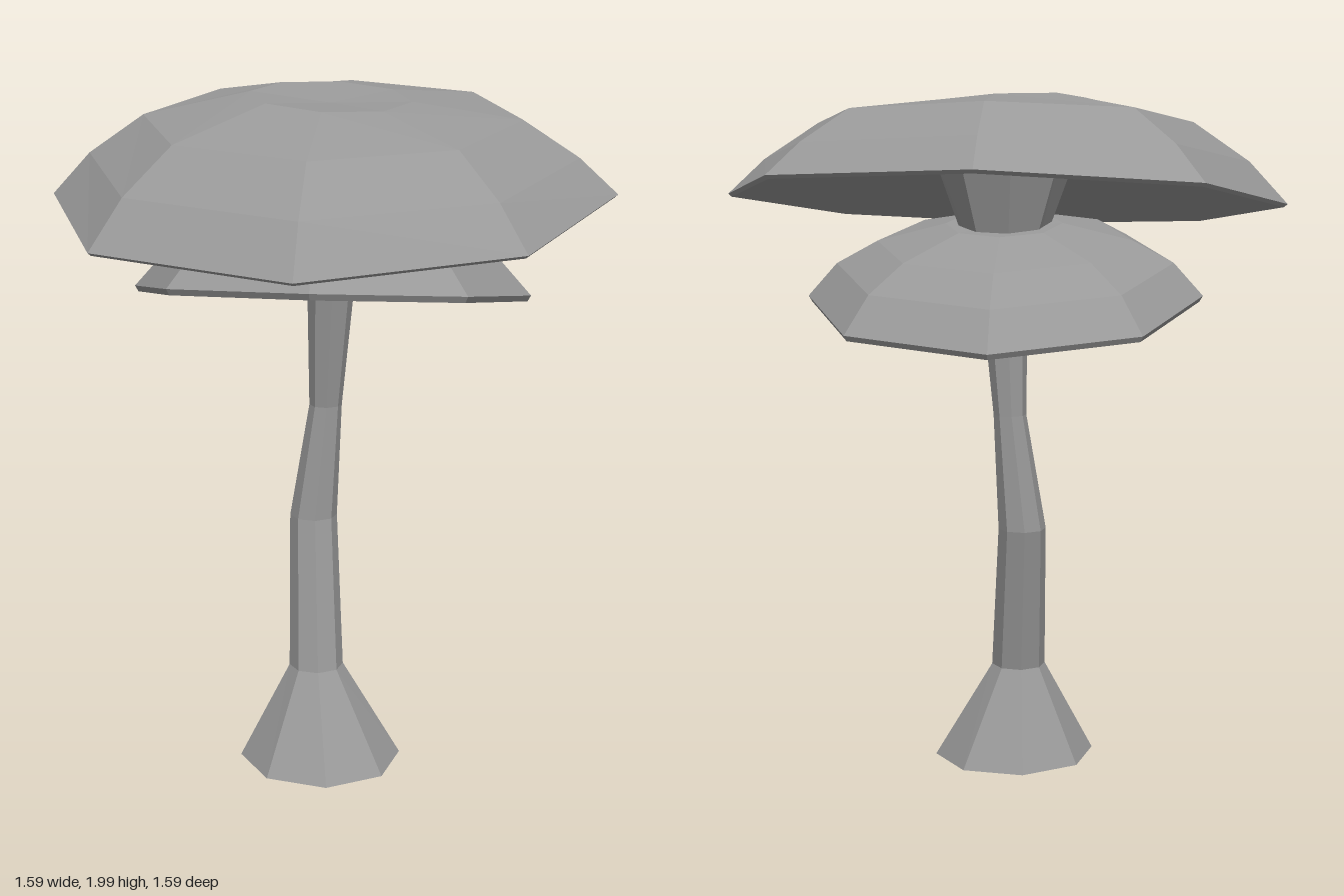
import * as THREE from 'three';

const SIDES = 8;
const material = new THREE.MeshStandardMaterial({
  color: 0x999999, flatShading: true, side: THREE.DoubleSide,
});

// Skins a list of octagonal rings { x, y, z, r, tiltX, tiltZ }.
// Each ring lies on a plane that rises by tiltX along x and tiltZ along z.
function loft(name, rings, phase) {
  const point = (ring, j) => {
    const a = phase + (j / SIDES) * Math.PI * 2;
    const dx = ring.r * Math.cos(a), dz = ring.r * Math.sin(a);
    return [ring.x + dx, ring.y + ring.tiltX * dx + ring.tiltZ * dz, ring.z + dz];
  };
  const positions = [];
  for (let i = 0; i < rings.length - 1; i++) {
    const lower = rings[i], upper = rings[i + 1];
    for (let j = 0; j < SIDES; j++) {
      const a = point(lower, j), b = point(upper, j);
      const c = point(upper, j + 1), d = point(lower, j + 1);
      if (upper.r > 0) positions.push(...a, ...b, ...c);
      if (lower.r > 0) positions.push(...a, ...c, ...d);
    }
  }
  const geometry = new THREE.BufferGeometry();
  geometry.setAttribute('position', new THREE.Float32BufferAttribute(positions, 3));
  geometry.computeVertexNormals();
  const mesh = new THREE.Mesh(geometry, material);
  mesh.name = name;
  return mesh;
}

// A tilted cap; profile holds [radius, height above the rim plane],
// optionally followed by that ring's own tilt along x and z.
function cap(name, profile, height, tiltX, tiltZ, phase) {
  const rings = profile.map(([r, h, tx = tiltX, tz = tiltZ]) => (
    { x: 0, y: height + h, z: 0, r, tiltX: tx, tiltZ: tz }));
  return loft(name, rings, THREE.MathUtils.degToRad(phase));
}

export function createModel() {
  const model = new THREE.Group();
  model.name = 'mushroom';

  // Crooked stem with an open flared foot and a flare under the upper cap:
  // [x, y, z, radius, tilt along x, tilt along z]
  const stem = [
    [0.03, 0.007, 0.085, 0.24, -0.02],
    [0.01, 0.29, 0.08, 0.08],
    [-0.058, 0.73, 0.013, 0.07],
    [-0.03, 1.07, -0.01, 0.048],
    [0, 1.44, 0, 0.069],
    [0, 1.83, 0, 0.21, -0.064, -0.12],
  ].map(([x, y, z, r, tiltX = 0, tiltZ = 0]) => ({ x, y, z, r, tiltX, tiltZ }));
  model.add(loft('stem', stem, 0));

  // Large upper cap, from the middle of the hollow underside round to the crown
  model.add(cap('upperCap', [
    [0, 0.14], [0.21, 0.138], [0.80, -0.004], [0.81, 0.005], [0.70, 0.115, -0.064, -0.10],
    [0.54, 0.222, -0.064, -0.09], [0.23, 0.28, -0.1, -0.05], [0, 0.262],
  ], 1.69, -0.064, -0.12, 11));

  // Smaller lower cap, tilted the other way
  model.add(cap('lowerCap', [
    [0, 0.11], [0.1, 0.108], [0.565, -0.002], [0.575, 0.015], [0.49, 0.11],
    [0.37, 0.175], [0.17, 0.225], [0, 0.22],
  ], 1.40, 0.094, 0.146, 10));

  return model;
}
